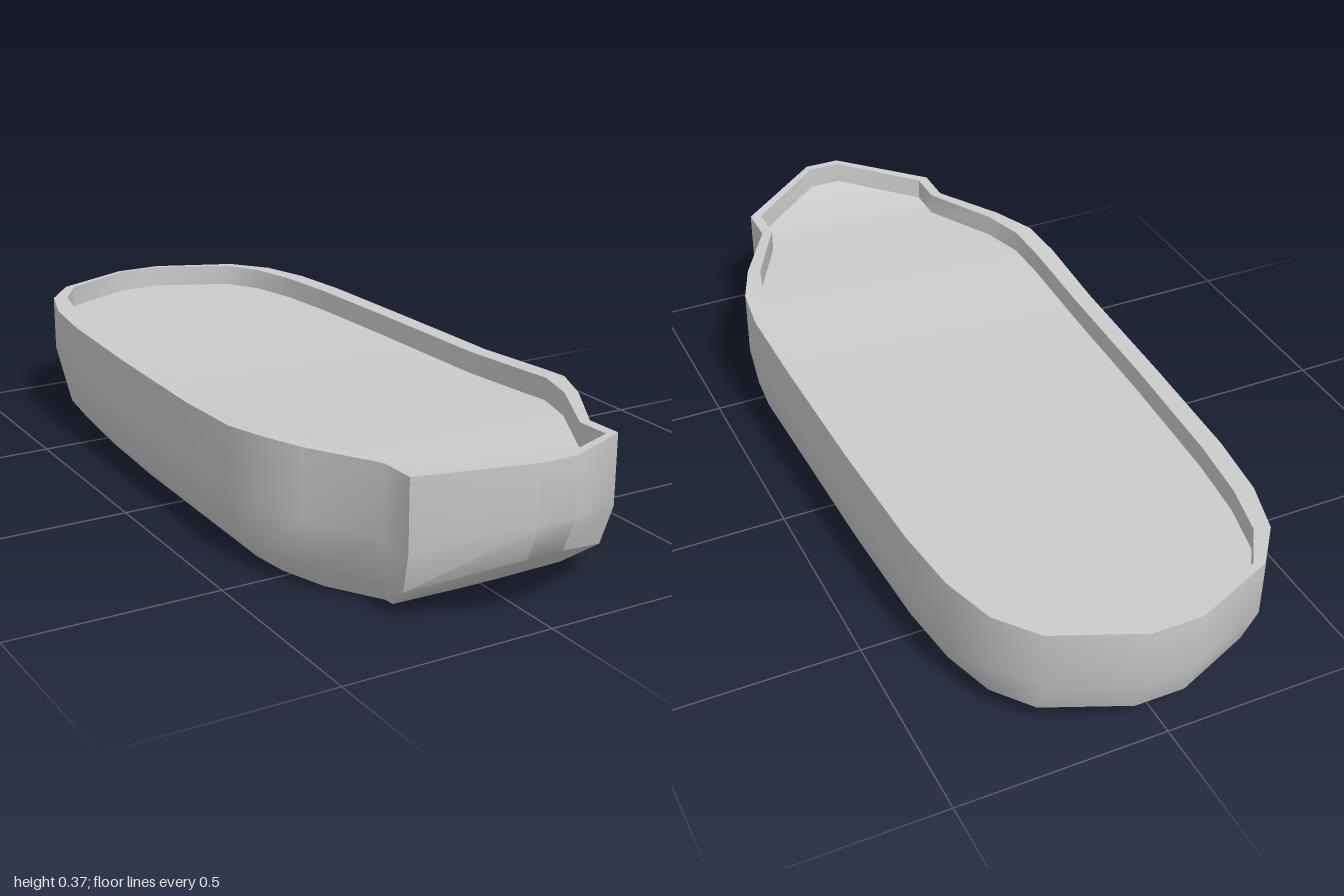
import * as THREE from 'three';
import { toCreasedNormals } from 'three/addons/utils/BufferGeometryUtils.js';

// Stations along the +x half of the hull, bow to stern.
// Outer gunwale [x, z, rim height], inner gunwale [x, z], chine [x, z], bottom [x, z].
const OUTER = [[0.045, 1, 0.37], [0.262, 0.86, 0.335], [0.262, 0.765, 0.333], [0.36, 0.6, 0.333], [0.405, 0.49, 0.333],
  [0.417, 0.38, 0.322], [0.412, 0.16, 0.31], [0.405, -0.2, 0.308], [0.393, -0.52, 0.308], [0.374, -0.69, 0.308],
  [0.335, -0.82, 0.308], [0.26, -0.915, 0.308], [0.06, -1, 0.308]];
const INNER = [[0.04, 0.98], [0.235, 0.853], [0.235, 0.765], [0.33, 0.588], [0.36, 0.48],
  [0.369, 0.375], [0.368, 0.16], [0.36, -0.2], [0.345, -0.52], [0.328, -0.68],
  [0.298, -0.81], [0.24, -0.902], [0.055, -0.988]];
const CHINE = [[0.045, 0.965], [0.253, 0.83], [0.25, 0.755], [0.345, 0.595], [0.39, 0.485],
  [0.4, 0.38], [0.396, 0.16], [0.39, -0.2], [0.378, -0.5], [0.358, -0.66],
  [0.32, -0.785], [0.25, -0.875], [0.06, -0.957]];
const BOTTOM = [[0.045, 0.745], [0.22, 0.74], [0.222, 0.715], [0.3, 0.59], [0.338, 0.475],
  [0.35, 0.38], [0.347, 0.16], [0.342, -0.2], [0.33, -0.45], [0.308, -0.59],
  [0.27, -0.69], [0.21, -0.76], [0.06, -0.81]];
const DECK_DEPTH = 0.055;

// Closed ring: the +x side bow to stern, then its mirror back to the bow
function ring(outline, height) {
  const side = outline.map(([x, z], i) => [x, height(i), z]);
  return side.concat(side.map(([x, y, z]) => [-x, y, z]).reverse());
}

const quad = (out, a, b, c, d) => out.push(...a, ...b, ...c, ...a, ...c, ...d);

// Wall between consecutive rings
function band(out, rings) {
  for (let k = 0; k + 1 < rings.length; k++) {
    const a = rings[k], b = rings[k + 1], n = a.length;
    for (let i = 0; i < n; i++) {
      const j = (i + 1) % n;
      quad(out, a[i], a[j], b[j], b[i]);
    }
  }
}

// Surface spanning a ring from side to side
function fill(out, r, up) {
  const last = r.length - 1;
  for (let i = 0; i < r.length / 2 - 1; i++) {
    const q = [r[i], r[i + 1], r[last - i - 1], r[last - i]];
    quad(out, ...(up ? q : q.reverse()));
  }
}

function part(name, positions) {
  const geometry = new THREE.BufferGeometry();
  geometry.setAttribute('position', new THREE.Float32BufferAttribute(positions, 3));
  const material = new THREE.MeshStandardMaterial({ color: 0xcccccc });
  const mesh = new THREE.Mesh(toCreasedNormals(geometry, 0.62), material);
  mesh.name = name;
  return mesh;
}

export function createModel() {
  const rimY = i => OUTER[i][2];
  const bottom = ring(BOTTOM, () => 0);
  const chine = ring(CHINE, i => (i === 0 ? 0.15 : i === 1 ? 0.07 : 0.062));
  const bilge = ring(OUTER, i => (i === 0 ? 0.23 : 0.168));
  const rimOuter = ring(OUTER, rimY);
  const rimInner = ring(INNER, rimY);
  const deckEdge = ring(INNER, i => rimY(i) - DECK_DEPTH);

  // Hull sides with the flat bottom
  const hull = [];
  band(hull, [bottom, chine, bilge, rimOuter]);
  fill(hull, bottom, false);

  // Gunwale top and the inside of the bulwark
  const bulwark = [];
  band(bulwark, [rimOuter, rimInner, deckEdge]);

  // Recessed deck that follows the sheer
  const deck = [];
  fill(deck, deckEdge, true);

  const group = new THREE.Group();
  group.name = 'boatHull';
  group.add(part('hull', hull), part('bulwark', bulwark), part('deck', deck));
  return group;
}
